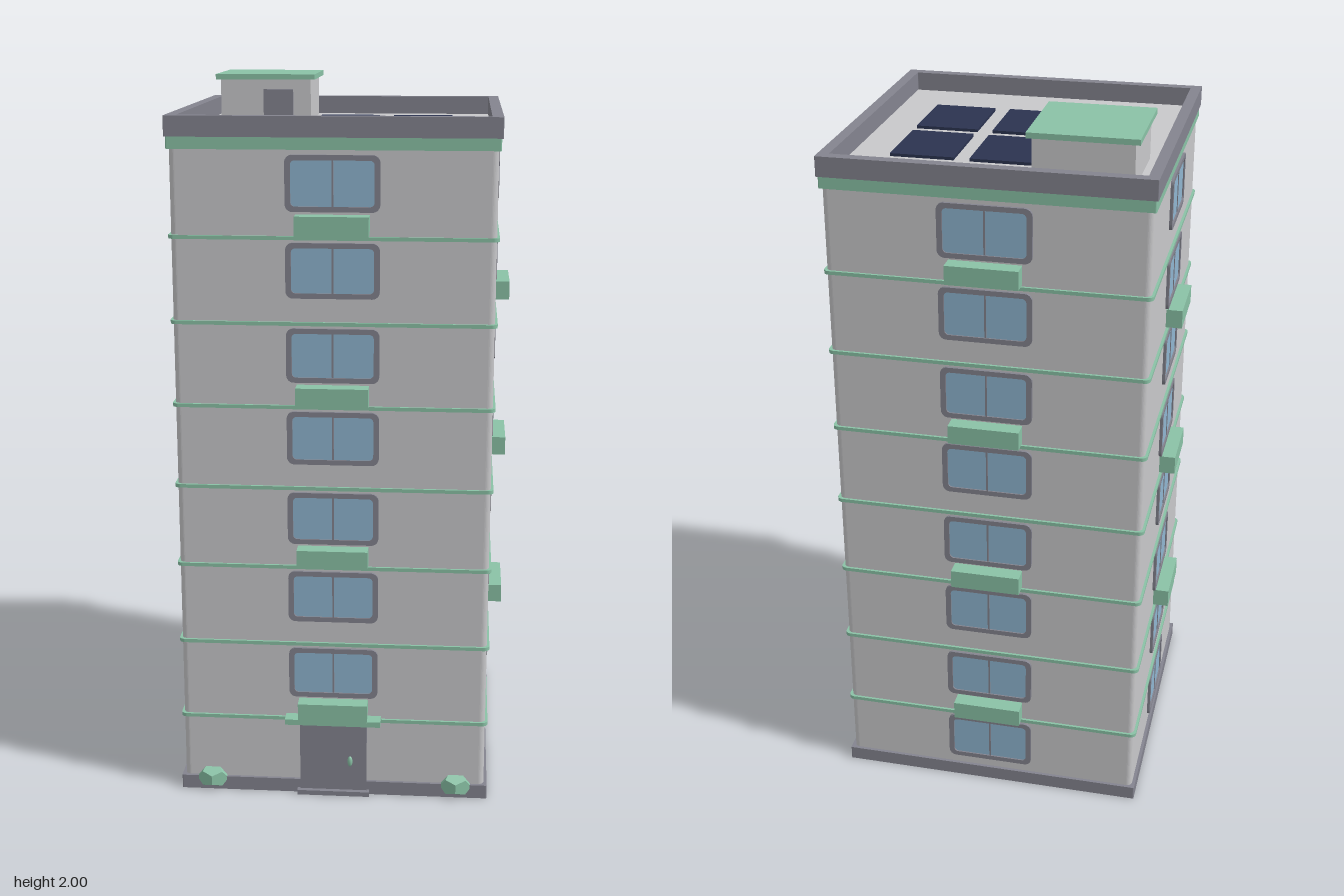
import * as THREE from 'three';

const mat = (name, color) => {
  const m = new THREE.MeshStandardMaterial({ color });
  m.name = name;
  return m;
};

// rounded rectangle outline centred on the origin
function roundRect(w, h, r, Type = THREE.Shape) {
  const s = new Type(), x = w / 2, y = h / 2;
  s.moveTo(-x + r, -y);
  s.lineTo(x - r, -y);
  s.absarc(x - r, -y + r, r, -Math.PI / 2, 0);
  s.lineTo(x, y - r);
  s.absarc(x - r, y - r, r, 0, Math.PI / 2);
  s.lineTo(-x + r, y);
  s.absarc(-x + r, y - r, r, Math.PI / 2, Math.PI);
  s.lineTo(-x, -y + r);
  s.absarc(-x + r, -y + r, r, Math.PI, Math.PI * 1.5);
  return s;
}

const extrude = (shape, depth) =>
  new THREE.ExtrudeGeometry(shape, { depth, bevelEnabled: false, curveSegments: 4 });

export function createModel() {
  const wall = mat('wall grey', 0xc8c8ca);
  const slate = mat('slate grey', 0x84848f);
  const green = mat('soft green', 0x8ac2a6);
  const glass = mat('window blue', 0x8fb5d0);
  const navy = mat('panel navy', 0x2b3350);
  const model = new THREE.Group();
  model.name = 'towerBlock';

  const add = (parent, name, geo, material, x = 0, y = 0, z = 0) => {
    const m = new THREE.Mesh(geo, material);
    m.name = name;
    m.position.set(x, y, z);
    parent.add(m);
    return m;
  };
  // box given by its centre in x and z and its bottom in y
  const box = (parent, name, material, w, h, d, x, y, z) =>
    add(parent, name, new THREE.BoxGeometry(w, h, d), material, x, y + h / 2, z);
  // square slab with rounded vertical corners, standing on y
  const slab = (name, material, size, r, y, h, hole = 0) => {
    const s = roundRect(size, size, r);
    if (hole) s.holes.push(roundRect(hole, hole, 0.001, THREE.Path));
    return add(model, name, extrude(s, h).rotateX(-Math.PI / 2), material, 0, y, 0);
  };

  const FLOORS = 8, H = 0.2292, FACE = 0.43;

  // main mass, plinth and roof edge
  slab('tower', wall, FACE * 2, 0.016, 0.02, 1.842);
  slab('plinth', slate, 0.878, 0.003, 0, 0.04);
  slab('roofBand', green, 0.872, 0.004, 1.834, 0.032, 0.8);
  slab('parapet', slate, 0.88, 0.002, 1.866, 0.054, 0.82);
  box(model, 'roofDeck', wall, 0.83, 0.012, 0.83, 0, 1.856, 0);
  for (let i = 1; i < FLOORS; i++) slab('floorStripe', green, 0.874, 0.016, i * H - 0.005, 0.01);

  // shared window and planter geometry
  const frameShape = roundRect(0.25, 0.148, 0.02);
  frameShape.holes.push(roundRect(0.22, 0.12, 0.012, THREE.Path));
  const frameGeo = extrude(frameShape, 0.008);
  const paneGeo = extrude(roundRect(0.224, 0.124, 0.012), 0.004);
  const mullionGeo = new THREE.BoxGeometry(0.005, 0.122, 0.006);
  const planterGeo = new THREE.BoxGeometry(0.195, 0.052, 0.047);

  // four facades: windows on every floor, planters on alternating floors
  ['front', 'left', 'back', 'right'].forEach((side, k) => {
    const facade = new THREE.Group();
    facade.name = side + 'Facade';
    facade.rotation.y = k * Math.PI / 2;
    model.add(facade);
    for (let i = 0; i < FLOORS; i++) {
      const y = i * H + 0.143;
      if (k !== 0 || i > 0) {
        add(facade, 'windowFrame', frameGeo, slate, 0, y, FACE);
        add(facade, 'windowPane', paneGeo, glass, 0, y, FACE);
        add(facade, 'windowMullion', mullionGeo, slate, 0, y, FACE + 0.003);
      }
      if (i > 0 && i % 2 === (k % 2 === 0 ? 1 : 0))
        add(facade, 'planter', planterGeo, green, 0, i * H + 0.036, FACE + 0.0215);
    }
  });

  // entrance
  box(model, 'entranceDoor', slate, 0.19, 0.202, 0.02, 0, 0.012, 0.433);
  box(model, 'entranceStep', slate, 0.206, 0.014, 0.04, 0, 0, 0.436);
  box(model, 'entranceCanopy', green, 0.27, 0.016, 0.05, 0, 0.226, 0.447);
  const handle = add(model, 'doorHandle', new THREE.SphereGeometry(0.008, 10, 8), green, 0.048, 0.104, 0.444);
  handle.scale.set(0.9, 2, 0.8);

  // low-poly bushes beside the entrance
  const bushGeo = new THREE.DodecahedronGeometry(1, 0);
  for (const s of [-1, 1]) {
    const bush = add(model, 'bush', bushGeo, green, s * 0.35, 0.035, 0.422);
    bush.scale.set(0.049, 0.0375, 0.04);
  }

  // solar panels
  for (const x of [-0.216, 0, 0.216])
    for (const z of [-0.13, 0.129])
      box(model, 'solarPanel', navy, 0.173, 0.008, 0.217, x, 1.868, z);

  // stair house on the roof
  box(model, 'stairHouse', wall, 0.262, 0.12, 0.262, -0.239, 1.866, -0.239);
  box(model, 'stairHouseRoof', green, 0.288, 0.015, 0.288, -0.239, 1.985, -0.239);
  box(model, 'stairHouseDoor', slate, 0.086, 0.09, 0.012, -0.202, 1.867, -0.106);

  return model;
}
